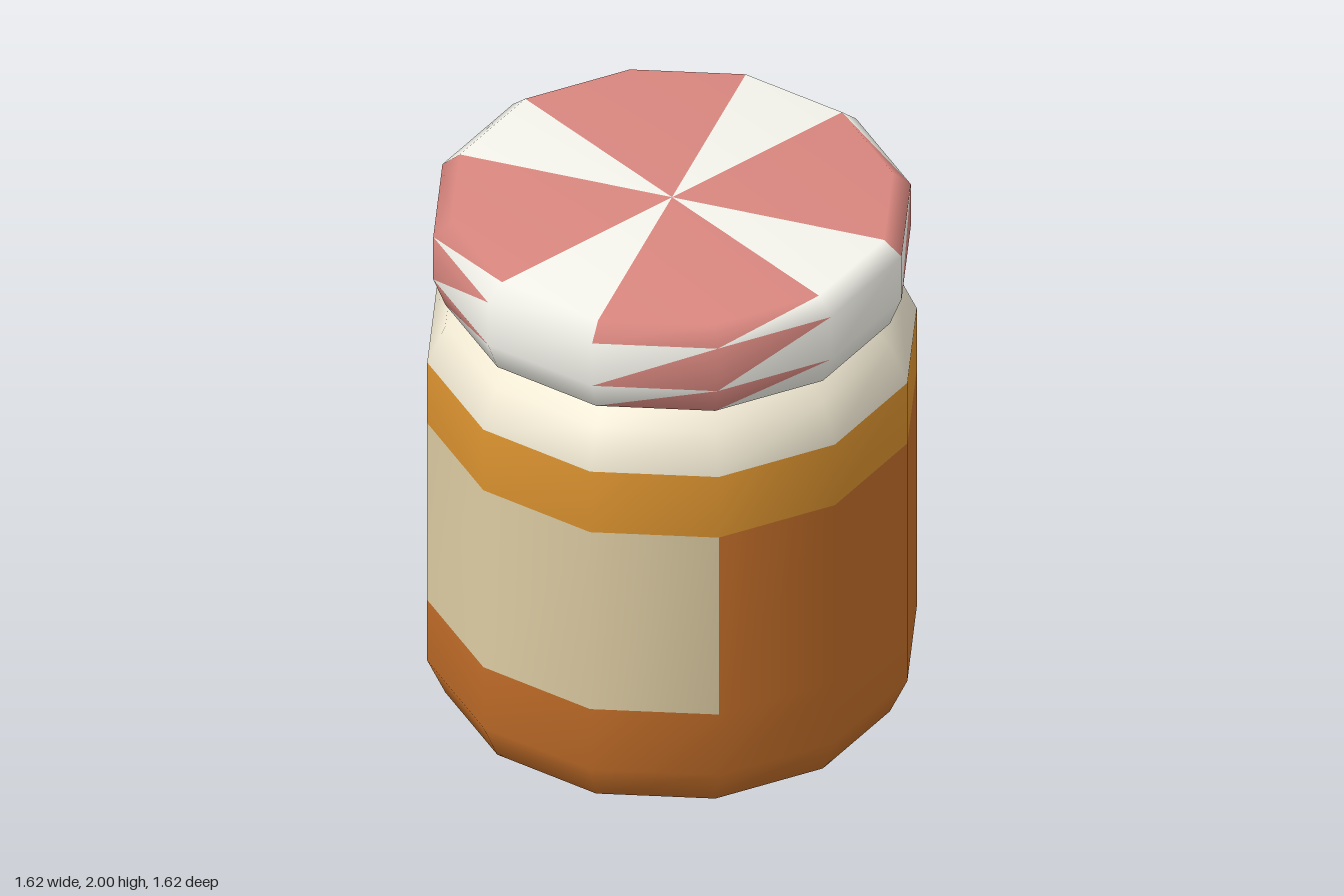
import * as THREE from 'three';

const SIDES = 12;

// Turned twelve-sided shell, smooth over all facets, split into one mesh per part.
// profile: [half width across flats, height] from top to bottom.
// partOf(row, segment, half) names the part each triangle belongs to.
function facetedShell(name, profile, partOf, colors) {
  const positions = [];
  const id = (row, k) => row * SIDES + (profile[row][0] === 0 ? 0 : k % SIDES);
  for (const [width, y] of profile) {
    const r = width / Math.cos(Math.PI / SIDES);
    for (let k = 0; k < SIDES; k++) {
      const a = (k + 0.5) * Math.PI * 2 / SIDES;
      positions.push(r * Math.cos(a), y, r * Math.sin(a));
    }
  }

  const all = [];
  const parts = {};
  for (let row = 0; row < profile.length - 1; row++) {
    for (let k = 0; k < SIDES; k++) {
      const t0 = id(row, k), t1 = id(row, k + 1);
      const b0 = id(row + 1, k), b1 = id(row + 1, k + 1);
      [[t0, t1, b1], [t0, b1, b0]].forEach((tri, half) => {
        if (new Set(tri).size < 3) return;
        all.push(...tri);
        (parts[partOf(row, k, half)] ??= []).push(...tri);
      });
    }
  }

  const shell = new THREE.BufferGeometry();
  shell.setAttribute('position', new THREE.Float32BufferAttribute(positions, 3));
  shell.setIndex(all);
  shell.computeVertexNormals();

  const group = new THREE.Group();
  group.name = name;
  for (const [part, index] of Object.entries(parts)) {
    const shared = shell.clone();
    shared.setIndex(index);
    const material = new THREE.MeshStandardMaterial({ color: colors[part], side: THREE.DoubleSide });
    const mesh = new THREE.Mesh(shared.toNonIndexed(), material);
    mesh.name = part;
    group.add(mesh);
  }
  return group;
}

export function createModel() {
  const model = new THREE.Group();
  model.name = 'jar';

  // Jar: pale shoulder, gold band, brown filling and a label on the three front sides
  const jarProfile = [
    [0.665, 1.63], [0.75, 1.57], [0.81, 1.43], [0.81, 1.18], [0.81, 0.45],
    [0.81, 0.2], [0.75, 0.06], [0.6, 0], [0, 0],
  ];
  const jarPart = (row, k) => {
    if (row < 2) return 'shoulder';
    if (row === 2) return 'goldBand';
    return row === 3 && k >= 1 && k <= 3 ? 'label' : 'filling';
  };
  model.add(facetedShell('jarBody', jarProfile, jarPart, {
    shoulder: 0xf0e8d2, goldBand: 0xd68f2e, filling: 0xc06c28, label: 0xdccba2,
  }));

  // Lid: four red wedges on top that run down the side as slanted zigzags
  const lidProfile = [
    [0, 2], [0.73, 2], [0.79, 1.945], [0.79, 1.77], [0.75, 1.66], [0.66, 1.63],
  ];
  const lidPart = (row, k, half) => {
    const step = k % 3;
    const red = step < 2 && (row === 0 || half === step || (row === 1 && step === 1));
    return red ? 'lidRedStripes' : 'lidWhite';
  };
  model.add(facetedShell('lid', lidProfile, lidPart, {
    lidRedStripes: 0xd9877f, lidWhite: 0xf5f4ec,
  }));

  return model;
}
